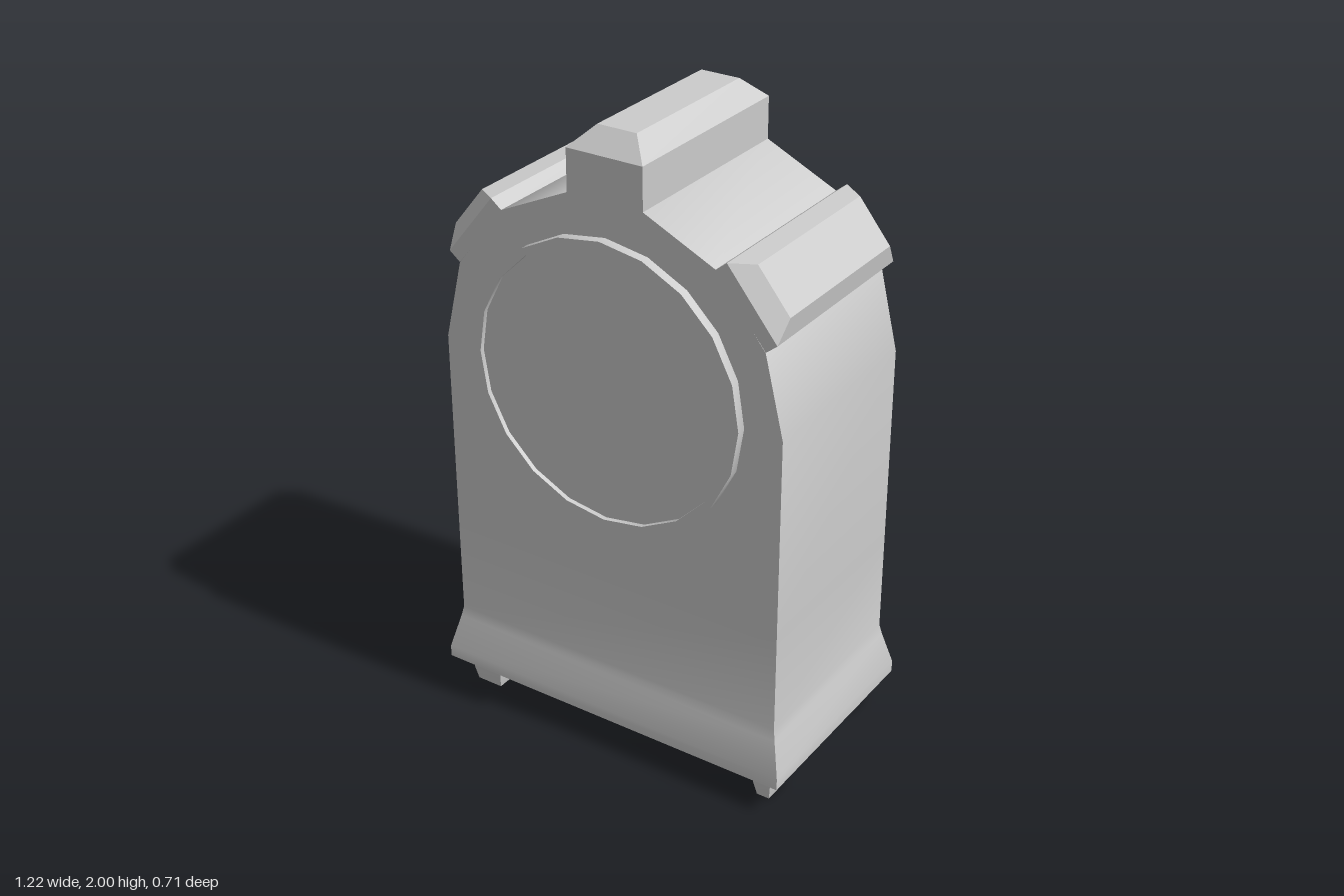
import * as THREE from 'three';
import { toCreasedNormals } from 'three/addons/utils/BufferGeometryUtils.js';

const material = new THREE.MeshStandardMaterial({ color: 0xcccccc });

function part(geometry, name, parent) {
  const mesh = new THREE.Mesh(toCreasedNormals(geometry, 0.5), material);
  mesh.name = name;
  parent.add(mesh);
  return mesh;
}

// Closed solid through rectangular rings [y, halfX, halfZ], listed bottom to top
function loft(rings) {
  const positions = [], index = [];
  rings.forEach(([y, hx, hz]) => positions.push(-hx, y, hz, hx, y, hz, hx, y, -hz, -hx, y, -hz));
  for (let r = 0; r < rings.length - 1; r++) {
    for (let i = 0; i < 4; i++) {
      const a = r * 4 + i, b = r * 4 + (i + 1) % 4;
      index.push(a, b, b + 4, a, b + 4, a + 4);
    }
  }
  const t = (rings.length - 1) * 4;
  index.push(0, 2, 1, 0, 3, 2, t, t + 1, t + 2, t, t + 2, t + 3);
  const geometry = new THREE.BufferGeometry();
  geometry.setAttribute('position', new THREE.Float32BufferAttribute(positions, 3));
  geometry.setIndex(index);
  return geometry;
}

export function createModel() {
  const clock = new THREE.Group();
  clock.name = 'mantelClock';
  const depth = 0.64;

  // Flared plinth running up into the lower case
  part(loft([
    [0.1, 0.61, 0.355], [0.138, 0.61, 0.355], [0.25, 0.582, 0.327],
    [0.285, 0.575, 0.32], [0.6, 0.575, 0.32],
  ]), 'plinth', clock);

  // Upper case with sloping gable, extruded front to back
  const half = [[0.575, 0.6], [0.575, 1.25], [0.515, 1.5], [0.36, 1.7], [0.125, 1.81]];
  const outline = [...half, ...half.map(([x, y]) => [-x, y]).reverse()];
  const shape = new THREE.Shape(outline.map(([x, y]) => new THREE.Vector2(x, y)));
  const caseGeometry = new THREE.ExtrudeGeometry(shape, { depth, bevelEnabled: false });
  caseGeometry.translate(0, 0, -depth / 2);
  part(caseGeometry, 'case', clock);

  // Chamfered crest along the ridge
  part(loft([[1.81, 0.125, 0.32], [1.94, 0.125, 0.32], [2, 0.064, 0.257]]), 'crest', clock);

  // Chamfered shoulder blocks, tilted to follow the gable corners
  for (const side of [1, -1]) {
    const block = part(loft([[-0.045, 0.128, 0.32], [0, 0.128, 0.32], [0.05, 0.082, 0.274]]),
      side > 0 ? 'leftShoulder' : 'rightShoulder', clock);
    block.position.set(side * 0.47, 1.63, 0);
    block.rotation.z = -side * 0.895;
  }

  // Round dial with a thin raised rim
  const profile = [[0.453, 0], [0.453, 0.03], [0.43, 0.03], [0.43, 0.015], [0, 0.015]];
  const dialGeometry = new THREE.LatheGeometry(profile.map(([r, y]) => new THREE.Vector2(r, y)), 20);
  dialGeometry.rotateX(Math.PI / 2);
  part(dialGeometry, 'dial', clock).position.set(0, 1.252, 0.32);

  // Tapered feet: [centre x, half width at top, half width at bottom]
  for (const [x, top, bottom] of [[-0.505, 0.055, 0.044], [0.529, 0.032, 0.021]]) {
    for (const z of [0.25, -0.25]) {
      const foot = part(loft([[0.005, bottom, 0.045], [0.05, top - 0.003, 0.055], [0.1, top, 0.058]]), 'foot', clock);
      foot.position.set(x, -0.005, z);
      foot.scale.y = 1.05;
    }
  }
  return clock;
}
